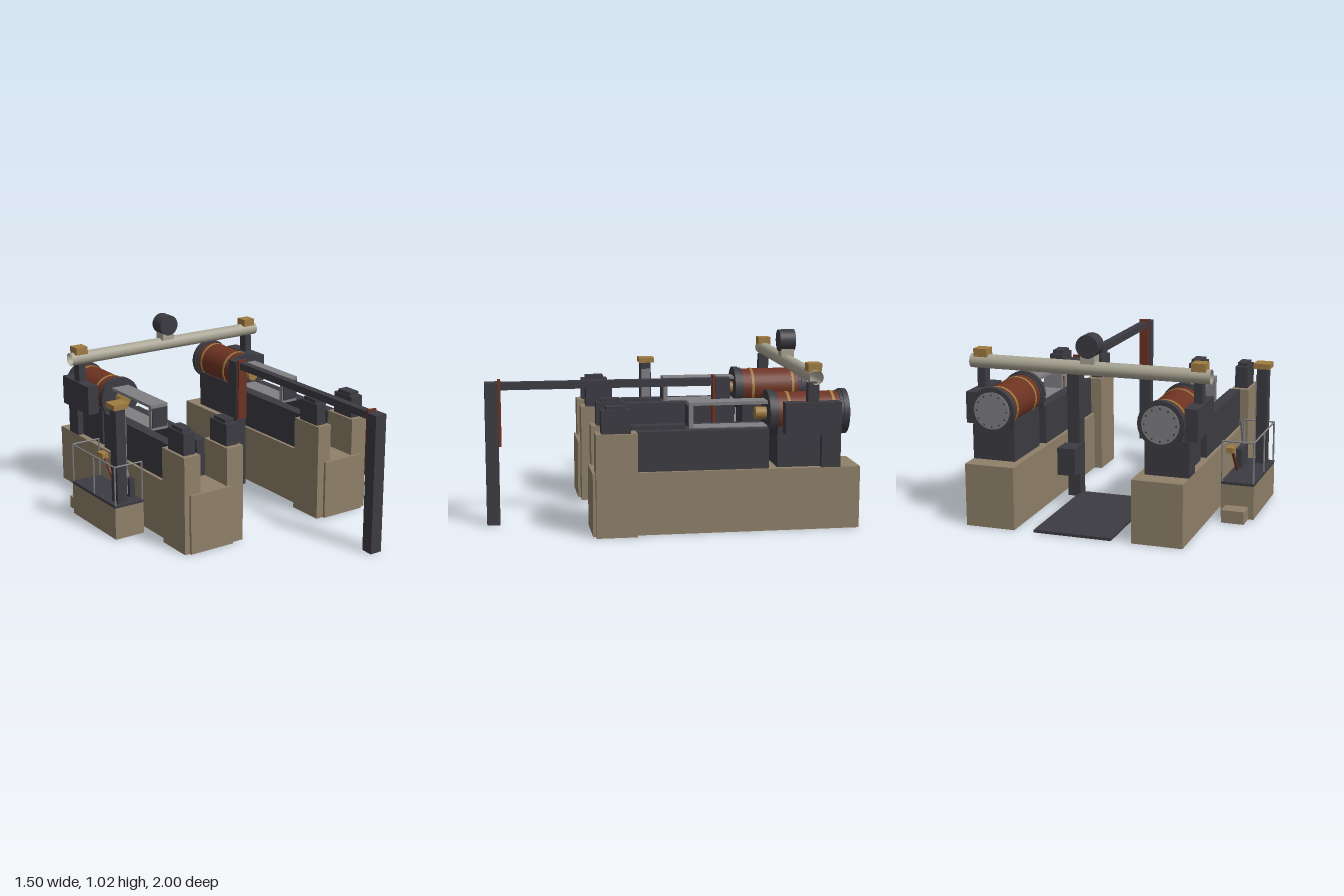
import * as THREE from 'three';

const mat = (name, color, side = THREE.FrontSide) => {
  const m = new THREE.MeshStandardMaterial({ color, side });
  m.name = name;
  return m;
};
const tan = mat('tan paint', 0x8f8069);
const dark = mat('dark steel', 0x3c3b42);
const rust = mat('rust red', 0x6e3322);
const gold = mat('brass', 0xa07c42);
const grey = mat('grey steel', 0x808083);
const pale = mat('pale pipe', 0xa9a594, THREE.DoubleSide);

// Box given by its limits on each axis
function box(parent, name, m, [x0, x1], [y0, y1], [z0, z1]) {
  const mesh = new THREE.Mesh(new THREE.BoxGeometry(x1 - x0, y1 - y0, z1 - z0), m);
  mesh.position.set((x0 + x1) / 2, (y0 + y1) / 2, (z0 + z1) / 2);
  mesh.name = name;
  parent.add(mesh);
  return mesh;
}

// Cylinder lying along z
function drumZ(parent, name, m, x, y, r, [z0, z1], sides = 28) {
  const geo = new THREE.CylinderGeometry(r, r, z1 - z0, sides).rotateX(Math.PI / 2);
  const mesh = new THREE.Mesh(geo, m);
  mesh.position.set(x, y, (z0 + z1) / 2);
  mesh.name = name;
  parent.add(mesh);
  return mesh;
}

// Round rod between two points
function rod(parent, name, m, a, b, r) {
  const path = new THREE.LineCurve3(new THREE.Vector3(...a), new THREE.Vector3(...b));
  const mesh = new THREE.Mesh(new THREE.TubeGeometry(path, 1, r, 8), m);
  mesh.name = name;
  parent.add(mesh);
}

// One long machine; side is the outward x direction
function machine(name, cx, side, pedestals, blocks) {
  const g = new THREE.Group();
  g.name = name;
  const around = (w) => [cx - w, cx + w];
  const outer = (a, b) => (side > 0 ? [cx + a, cx + b] : [cx - b, cx - a]);

  box(g, 'base', tan, around(0.137), [0, 0.34], [-1, 0.45]);

  // Bed with a central groove
  box(g, 'bedFloor', dark, around(0.118), [0.34, 0.385], [-0.5, 0.22]);
  for (const s of [-1, 1]) {
    const xs = s < 0 ? [cx - 0.118, cx - 0.055] : [cx + 0.055, cx + 0.118];
    box(g, 'bedRail', dark, xs, [0.385, 0.555], [-0.5, 0.22]);
  }

  // Front pedestals with stepped blocks
  pedestals.forEach((xs) => box(g, 'pedestal', tan, xs, [0, 0.556], [0.215, 0.435]));
  blocks.forEach(([x0, x1]) => {
    box(g, 'pedestalBlock', dark, [x0, x1], [0.556, 0.68], [0.25, 0.405]);
    box(g, 'blockTop', dark, [x0 + 0.008, x1 - 0.008], [0.68, 0.7], [0.275, 0.38]);
  });

  // Open-sided slide
  box(g, 'slideTop', grey, around(0.055), [0.678, 0.695], [-0.51, -0.075]);
  box(g, 'slideFloor', grey, around(0.055), [0.545, 0.56], [-0.51, -0.075]);
  box(g, 'slideFront', grey, around(0.055), [0.56, 0.678], [-0.1, -0.075]);
  box(g, 'slideFrontPanel', dark, around(0.05), [0.562, 0.676], [-0.075, -0.07]);

  // Banded drum with flanges, nozzle and bolted rear cover
  const y = 0.623;
  box(g, 'drumStand', dark, around(0.1), [0.34, 0.56], [-0.89, -0.55]);
  drumZ(g, 'drum', rust, cx, y, 0.111, [-0.92, -0.53]);
  for (const z of [-0.86, -0.615]) drumZ(g, 'drumBand', gold, cx, y, 0.114, [z - 0.008, z + 0.008]);
  drumZ(g, 'frontFlange', dark, cx, y, 0.124, [-0.535, -0.505]);
  drumZ(g, 'frontCollar', dark, cx, y, 0.116, [-0.555, -0.535]);
  drumZ(g, 'rearFlange', dark, cx, y, 0.124, [-0.942, -0.912]);
  drumZ(g, 'rearCollar', dark, cx, y, 0.116, [-0.912, -0.895]);
  drumZ(g, 'rearCover', grey, cx, y, 0.1, [-0.949, -0.942]);
  for (let i = 0; i < 12; i++) {
    const a = (i / 12) * Math.PI * 2;
    drumZ(g, 'coverBolt', dark, cx + 0.085 * Math.cos(a), y + 0.085 * Math.sin(a), 0.005, [-0.952, -0.949], 6);
  }
  drumZ(g, 'nozzle', gold, cx, y, 0.034, [-0.505, -0.445], 20);

  // Outer housing and the posts below and above it
  box(g, 'sideHousing', dark, outer(0.108, 0.177), [0.53, 0.7], [-0.88, -0.575]);
  box(g, 'housingLeg', dark, outer(0.1, 0.137), [0.34, 0.53], [-0.89, -0.785]);
  box(g, 'pipePost', dark, outer(0.12, 0.165), [0.7, 0.805], [-0.757, -0.697]);
  box(g, 'pipeClamp', gold, outer(0.106, 0.182), [0.866, 0.91], [-0.765, -0.69]);
  return g;
}

// Raised operator platform
function station() {
  const g = new THREE.Group();
  g.name = 'operatorStation';
  box(g, 'platformBase', tan, [-0.75, -0.567], [0, 0.185], [-0.445, 0.04]);
  box(g, 'platformDeck', dark, [-0.75, -0.567], [0.185, 0.2], [-0.445, 0.04]);
  box(g, 'step', tan, [-0.72, -0.595], [0, 0.07], [-0.54, -0.445]);
  box(g, 'basePanel', dark, [-0.567, -0.562], [0.065, 0.135], [-0.2, -0.06]);

  // Column with side panel and cap
  box(g, 'column', dark, [-0.72, -0.66], [0.2, 0.745], [-0.045, 0.02]);
  box(g, 'columnPanel', grey, [-0.66, -0.652], [0.245, 0.705], [-0.04, 0.015]);
  box(g, 'columnCap', gold, [-0.735, -0.643], [0.745, 0.775], [-0.063, 0.03]);

  // Railing on the outer side and both ends
  const [x0, x1, z0, z1, top] = [-0.745, -0.572, -0.44, 0.035, 0.425];
  const corners = [[x1, z0], [x0, z0], [x0, z1], [x1, z1]];
  corners.forEach(([x, z], i) => {
    rod(g, 'railPost', grey, [x, 0.2, z], [x, top + 0.005, z], 0.005);
    if (i) {
      const [px, pz] = corners[i - 1];
      rod(g, 'handRail', grey, [px, top, pz], [x, top, z], 0.005);
    }
  });
  rod(g, 'railPost', grey, [x0, 0.2, -0.2], [x0, top, -0.2], 0.005);

  // Controls
  box(g, 'controlBox', dark, [-0.612, -0.58], [0.2, 0.31], [-0.175, -0.03]);
  rod(g, 'controlRod', grey, [-0.596, 0.3, -0.07], [-0.596, 0.465, -0.14], 0.007);
  rod(g, 'lever', rust, [-0.597, 0.2, -0.21], [-0.597, 0.35, -0.33], 0.009);
  box(g, 'leverGrip', gold, [-0.617, -0.577], [0.342, 0.372], [-0.385, -0.32]);
  return g;
}

// Overhead beam on two columns with sensor strips
function gantry() {
  const g = new THREE.Group();
  g.name = 'gantry';
  const x = [0.284, 0.355];
  box(g, 'frontColumn', dark, x, [0, 0.787], [0.928, 1]);
  box(g, 'rearColumn', dark, x, [0, 0.787], [-0.345, -0.265]);
  box(g, 'beam', dark, [0.298, 0.342], [0.745, 0.786], [-0.265, 0.928]);
  box(g, 'frontStrip', rust, [0.291, 0.348], [0.435, 0.8], [0.913, 0.928]);
  box(g, 'rearStrip', rust, [0.291, 0.348], [0.435, 0.8], [-0.265, -0.25]);
  box(g, 'junctionBox', dark, [0.266, 0.37], [0.155, 0.31], [-0.47, -0.345]);
  return g;
}

// Cross pipe with a central gauge
function crossPipe() {
  const g = new THREE.Group();
  g.name = 'crossPipe';
  const geo = new THREE.CylinderGeometry(0.038, 0.038, 1.335, 24, 1, true).rotateZ(Math.PI / 2);
  const pipe = new THREE.Mesh(geo, pale);
  pipe.position.set(0.08, 0.838, -0.73);
  pipe.name = 'pipe';
  g.add(pipe);
  box(g, 'gaugeNeck', pale, [0.036, 0.114], [0.866, 0.915], [-0.765, -0.69]);
  drumZ(g, 'gauge', dark, 0.074, 0.959, 0.062, [-0.77, -0.68], 32);
  return g;
}

export function createModel() {
  const model = new THREE.Group();
  model.name = 'factoryCell';
  model.add(
    machine('rightMachine', -0.382, -1,
      [[-0.55, -0.447], [-0.274, -0.167]], [[-0.533, -0.46], [-0.258, -0.18]]),
    machine('leftMachine', 0.541, 1,
      [[0.358, 0.447], [0.604, 0.714]], [[0.368, 0.43], [0.62, 0.7]]),
    station(),
    gantry(),
    crossPipe(),
  );
  box(model, 'floorPlate', dark, [-0.134, 0.294], [0, 0.015], [-1, -0.295]);
  return model;
}
